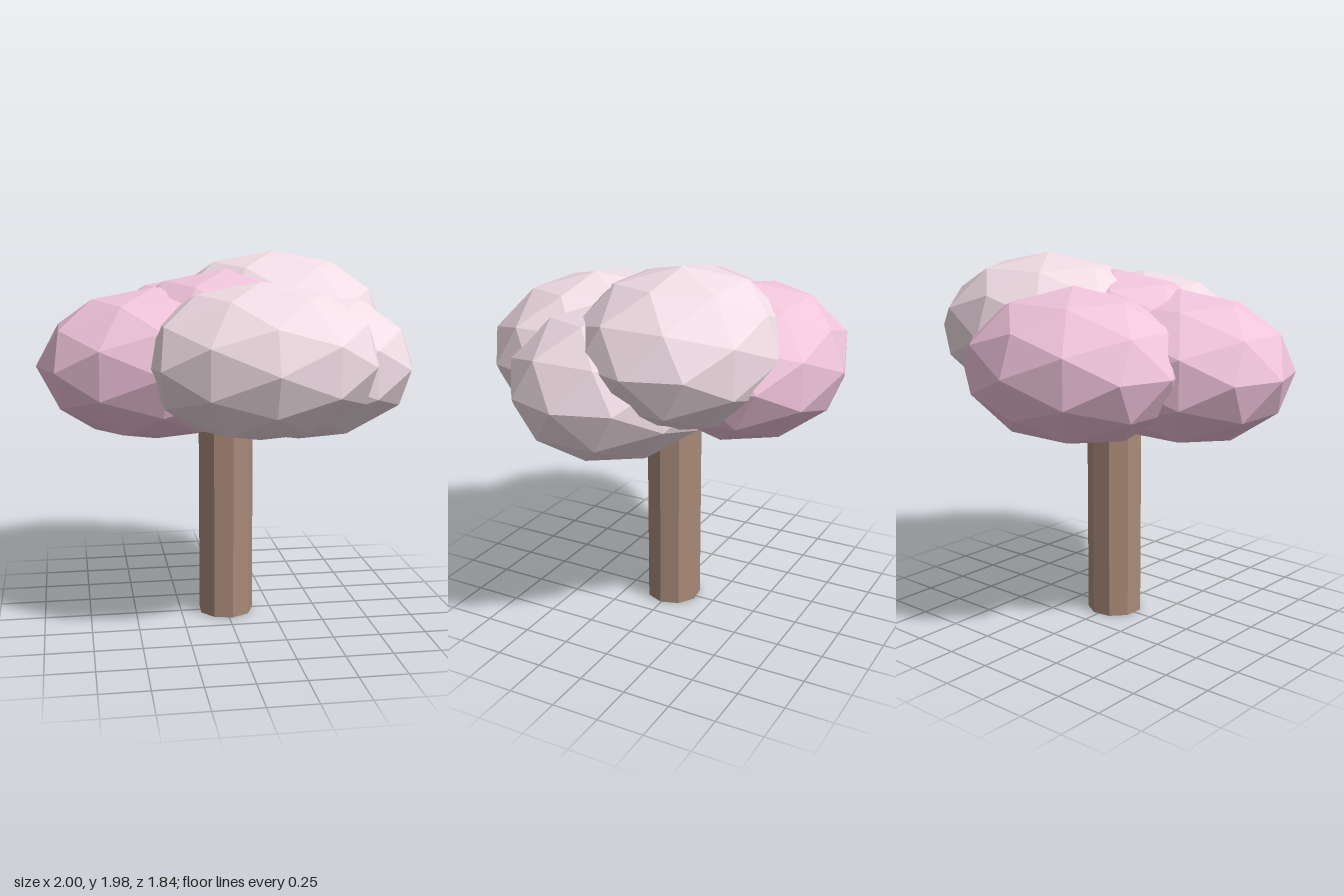
import * as THREE from 'three';

// Low-poly tree: faceted trunk under a cluster of flattened blossom clumps.
export function createModel() {
  const tree = new THREE.Group();
  tree.name = 'blossomTree';

  const material = (color) => new THREE.MeshStandardMaterial({ color, flatShading: true });
  const bark = material(0xa98a79);
  const pink = material(0xf0c4da);
  const pale = material(0xf0dce4);

  // Trunk: nine-sided, running up into the crown
  const height = 1.35;
  const trunk = new THREE.Mesh(
    new THREE.CylinderGeometry(0.15, 0.15, height, 9, 1, false, THREE.MathUtils.degToRad(8)),
    bark
  );
  trunk.name = 'trunk';
  trunk.position.y = height / 2;
  tree.add(trunk);

  // Crown: overlapping clumps, each [name, centre, depth radius, material]
  const clump = new THREE.IcosahedronGeometry(1, 1);
  const clumps = [
    ['centreFoliage', [0, 1.49, 0], 0.52, pink],
    ['frontFoliage', [0.12, 1.45, 0.4], 0.52, pale],
    ['leftFoliage', [0.38, 1.39, 0.12], 0.53, pale],
    ['backLeftFoliage', [0.29, 1.575, -0.2], 0.53, pale],
    ['rightFoliage', [-0.38, 1.405, 0.07], 0.52, pink],
    ['backFoliage', [-0.07, 1.44, -0.4], 0.52, pink],
  ];
  for (const [name, centre, depth, leafMaterial] of clumps) {
    const mesh = new THREE.Mesh(clump, leafMaterial);
    mesh.name = name;
    mesh.position.set(...centre);
    mesh.scale.set(0.62, 0.4, depth);
    tree.add(mesh);
  }

  return tree;
}
